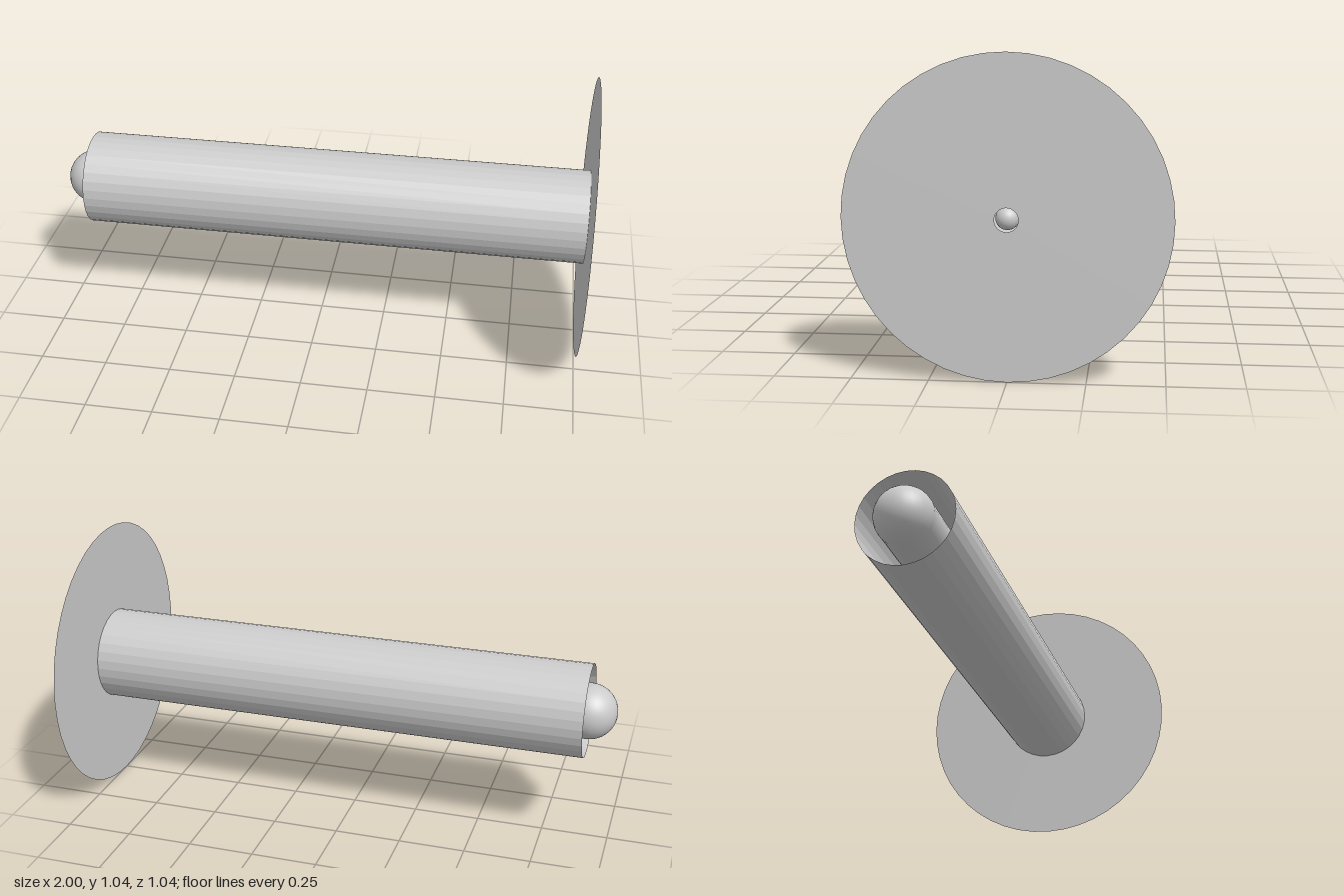
import * as THREE from 'three';

const AXIS_Y = 0.521;

export function createModel() {
  const group = new THREE.Group();
  const smooth = new THREE.MeshStandardMaterial({ color: 0xcccccc, side: THREE.DoubleSide });
  const faceted = new THREE.MeshStandardMaterial({ color: 0xcccccc, side: THREE.DoubleSide, flatShading: true });

  // Every part is centred on one horizontal axis along x
  const add = (name, geometry, material, x) => {
    const mesh = new THREE.Mesh(geometry, material);
    mesh.name = name;
    mesh.position.set(x, AXIS_Y, 0);
    group.add(mesh);
  };
  const tube = (radius, length) =>
    new THREE.CylinderGeometry(radius, radius, length, 32, 1, true).rotateZ(Math.PI / 2);

  // Open outer sleeve and the rod inside it
  add('sleeve', tube(0.175, 1.896), faceted, 0.052);
  add('innerRod', tube(0.103, 1.8), smooth, 0.005);

  // Round tip that stands out of the open end
  add('tipBall', new THREE.SphereGeometry(0.104, 32, 24), smooth, -0.896);

  // Thin guard disc with a centre hole, and the bead seated behind the hole
  add('guardDisc', new THREE.RingGeometry(0.038, 0.521, 48).rotateY(Math.PI / 2), smooth, 1);
  add('centreBead', new THREE.SphereGeometry(0.038, 24, 16), smooth, 0.962);

  return group;
}
